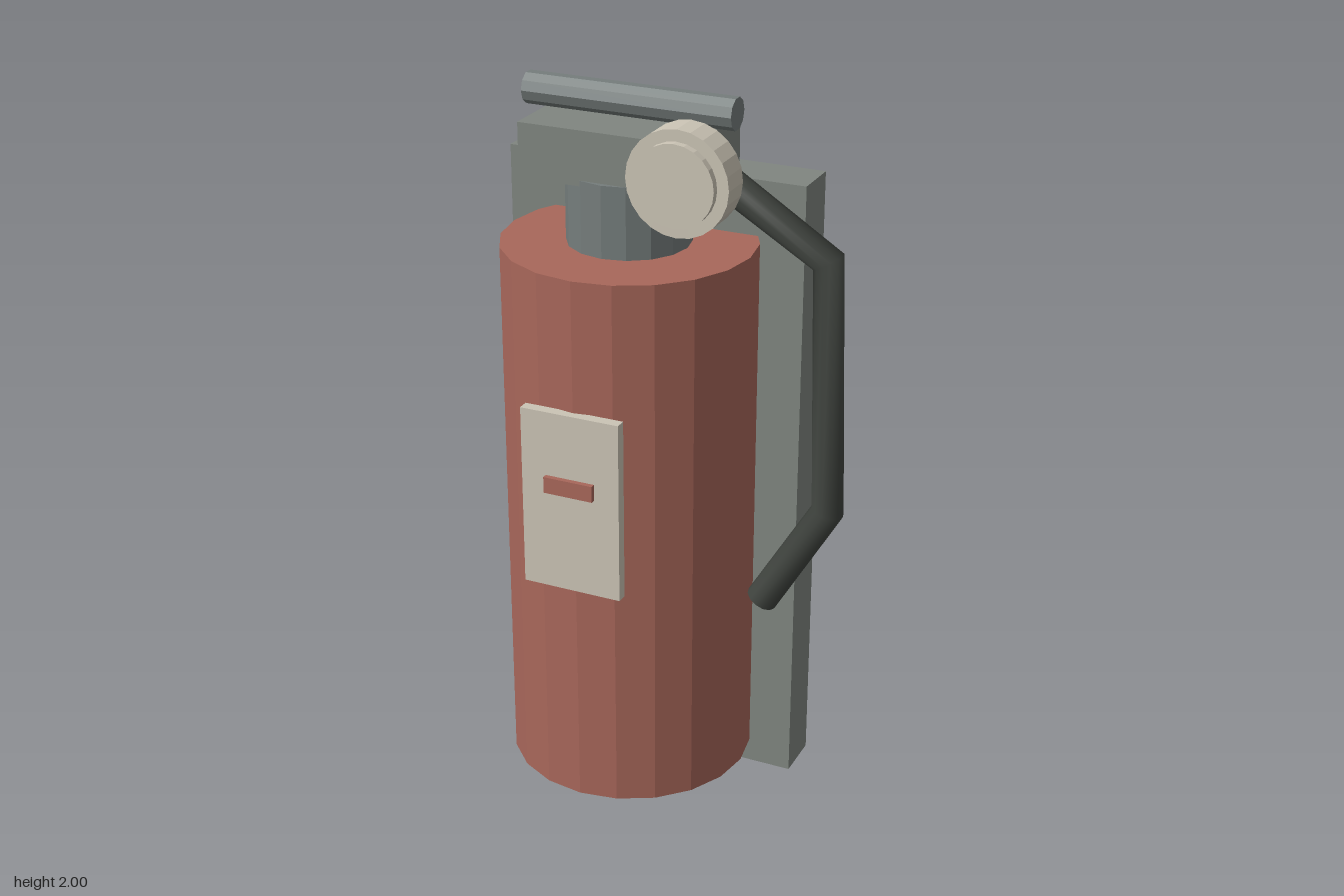
import * as THREE from 'three';

const material = (name, color) => {
  const m = new THREE.MeshStandardMaterial({ color });
  m.name = name;
  return m;
};

// Polyline with averaged tangents at its corners, so a tube gets clean bends
class BentPath extends THREE.Curve {
  constructor(points) {
    super();
    this.points = points;
  }
  getPointAt(t) {
    return this.points[Math.round(t * (this.points.length - 1))].clone();
  }
  getPoint(t) {
    return this.getPointAt(t);
  }
  getTangentAt(t) {
    const p = this.points, i = Math.round(t * (p.length - 1));
    const d = new THREE.Vector3();
    if (i > 0) d.add(p[i].clone().sub(p[i - 1]).normalize());
    if (i < p.length - 1) d.add(p[i + 1].clone().sub(p[i]).normalize());
    return d.normalize();
  }
}

export function createModel() {
  const group = new THREE.Group();
  const red = material('faded red', 0xa8675a);
  const grey = material('warm grey', 0x808680);
  const metal = material('steel grey', 0x757d7c);
  const cream = material('cream', 0xcbc4b5);
  const rubber = material('dark rubber', 0x40443f);

  const add = (name, geometry, mat) => {
    const mesh = new THREE.Mesh(geometry, mat);
    mesh.name = name;
    group.add(mesh);
    return mesh;
  };
  // Box given by its limits on each axis
  const box = (name, mat, [x0, x1], [y0, y1], [z0, z1]) =>
    add(name, new THREE.BoxGeometry(x1 - x0, y1 - y0, z1 - z0), mat)
      .position.set((x0 + x1) / 2, (y0 + y1) / 2, (z0 + z1) / 2);
  // Faceted cylinder about its centre
  const cylinder = (name, mat, r, h, sides, x, y, z) => {
    const g = new THREE.CylinderGeometry(r, r, h, sides).toNonIndexed();
    g.computeVertexNormals();
    const mesh = add(name, g, mat);
    mesh.position.set(x, y, z);
    return mesh;
  };

  // Wall plate, tank and neck
  box('backPlate', grey, [-0.52, 0.32], [0, 1.74], [-0.308, -0.173]);
  cylinder('tank', red, 0.333, 1.485, 20, -0.098, 0.8475, -0.018);
  cylinder('neck', metal, 0.162, 0.2, 16, -0.098, 1.68, -0.018);

  // Valve block with the lever bar floating above it
  box('valveBlock', grey, [-0.332, 0.14], [1.765, 1.908], [-0.167, 0.13]);
  cylinder('lever', metal, 0.042, 0.57, 10, -0.085, 1.958, -0.005).rotation.z = Math.PI / 2;

  // Pressure gauge: body and raised face
  cylinder('gaugeBody', cream, 0.135, 0.085, 24, 0.138, 1.838, 0.1725).rotation.x = Math.PI / 2;
  cylinder('gaugeFace', cream, 0.105, 0.02, 24, 0.138, 1.838, 0.225).rotation.x = Math.PI / 2;

  // Front label with its small red mark
  box('label', cream, [-0.234, 0.038], [0.747, 1.24], [0.308, 0.338]);
  box('labelMark', red, [-0.166, -0.03], [1.021, 1.065], [0.338, 0.352]);

  // Hose with closed ends
  const path = new BentPath([
    new THREE.Vector3(0.13, 1.812, -0.005),
    new THREE.Vector3(0.447, 1.617, -0.005),
    new THREE.Vector3(0.47, 0.942, -0.001),
    new THREE.Vector3(0.297, 0.648, 0.008),
  ]);
  add('hose', new THREE.TubeGeometry(path, 3, 0.043, 12, false), rubber);
  for (const [t, sign] of [[0, -1], [1, 1]]) {
    const cap = add('hoseEnd', new THREE.CircleGeometry(0.043, 12), rubber);
    cap.position.copy(path.getPointAt(t));
    cap.quaternion.setFromUnitVectors(
      new THREE.Vector3(0, 0, 1), path.getTangentAt(t).multiplyScalar(sign));
  }

  return group;
}
